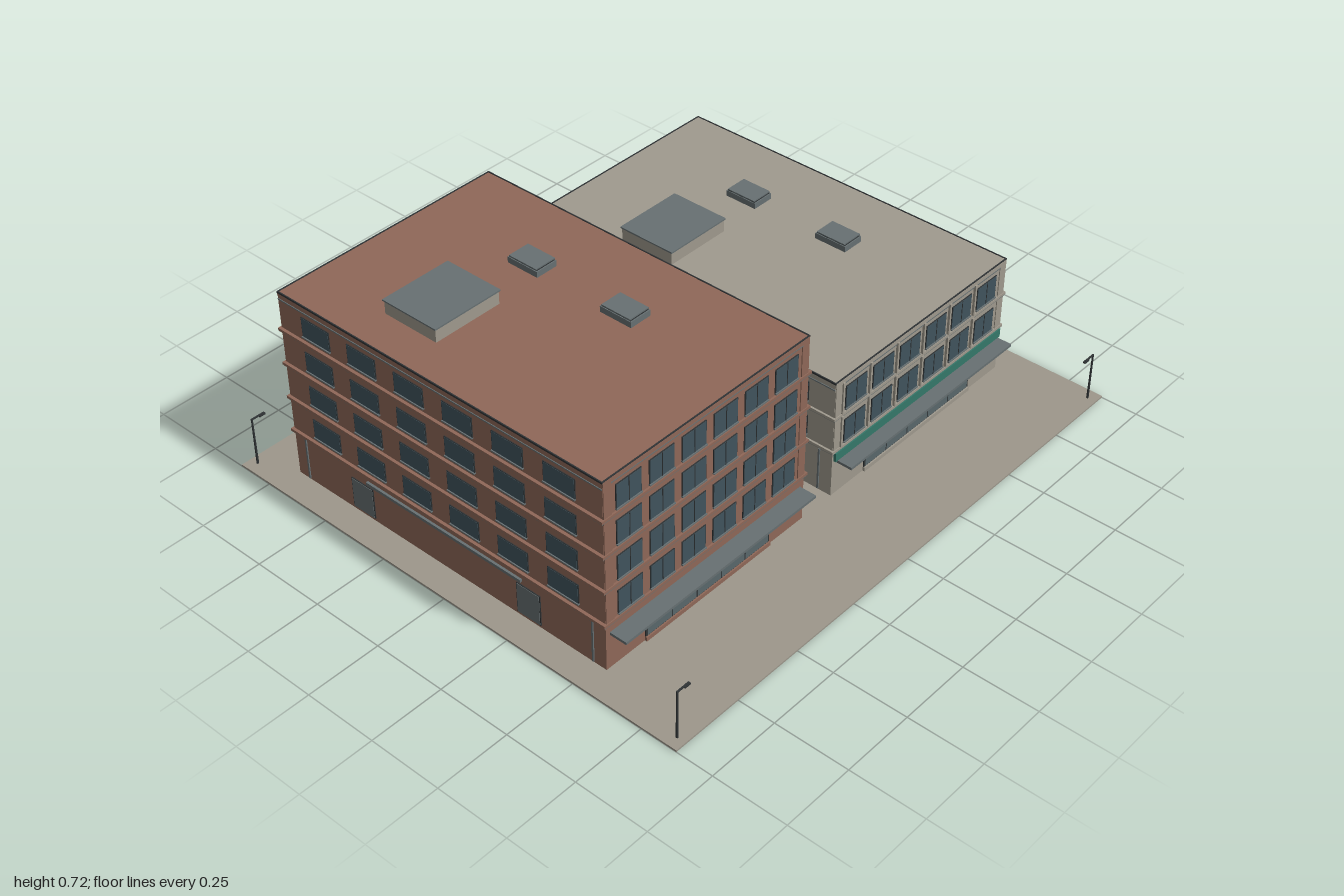
import * as THREE from 'three';

const paint = (name, color) => {
  const m = new THREE.MeshStandardMaterial({ color });
  m.name = name;
  return m;
};
const brick = paint('brick', 0x8f6858);
const stone = paint('stone', 0xa09a8e);
const paving = paint('paving', 0x9d978b);
const glass = paint('window glass', 0x41545d);
const shopGlass = paint('shop glass', 0x5a686b);
const metal = paint('grey metal', 0x677072);
const dark = paint('dark metal', 0x303436);
const green = paint('green fascia', 0x35786a);

// Box given by its size and centre
function box(parent, name, mat, w, h, d, x, y, z) {
  const m = new THREE.Mesh(new THREE.BoxGeometry(w, h, d), mat);
  m.name = name;
  m.position.set(x, y, z);
  parent.add(m);
  return m;
}

const W = 0.836, D = 1.256, CZ = -0.09;
const FLOOR0 = 0.172, STOREY = 0.123;

// A framed window on a wall whose outside faces local +z
function windowUnit(wall, x, y, w, h, mullion) {
  box(wall, 'windowFrame', dark, w + 0.004, h + 0.004, 0.004, x, y, 0.001);
  box(wall, 'windowPane', glass, w, h, 0.006, x, y, 0.001);
  box(wall, 'windowSill', metal, w + 0.006, 0.004, 0.01, x, y - h / 2 - 0.003, 0.002);
  if (mullion) box(wall, 'windowMullion', dark, 0.003, h, 0.008, x, y, 0.001);
}

// Narrow street wall with close-set windows and a shop front
function streetWall(wall, floors, height, mat, isStone) {
  for (let f = 0; f < floors; f++) {
    const y = FLOOR0 + 0.053 + f * STOREY;
    for (let i = 0; i < 6; i++) {
      const x = (i - 2.5) * 0.1285;
      windowUnit(wall, x, y, 0.094, 0.078, true);
      if (isStone) box(wall, 'pier', mat, 0.008, 0.112, 0.016, x - 0.0643, y + 0.008, 0);
    }
  }
  // raised border around the upper storeys
  const top = height - 0.017, mid = (top + FLOOR0) / 2;
  for (const s of [-1, 1])
    box(wall, 'wallBorder', mat, 0.03, top - FLOOR0, 0.006, s * (W / 2 - 0.016), mid, 0);
  box(wall, 'wallHead', mat, W, 0.016, 0.006, 0, height - 0.009, 0);
  box(wall, 'wallHeadLine', metal, W - 0.06, 0.003, 0.006, 0, top, 0.001);

  // shop front
  const sw = 0.518;
  box(wall, 'shopSurround', dark, sw + 0.008, 0.116, 0.004, 0, 0.074, 0.001);
  for (let i = 0; i < 5; i++)
    box(wall, 'shopPane', shopGlass, sw / 5 - 0.005, 0.106, 0.007, (i - 2) * sw / 5, 0.076, 0.001);
  box(wall, 'shopPlinth', mat, sw + 0.01, 0.014, 0.014, 0, 0.013, 0.001);
  if (isStone) box(wall, 'greenFascia', green, W - 0.012, 0.031, 0.016, 0, 0.15, 0.001);
}

// Long wall with wider windows, two doors and a strip awning
function longWall(wall, floors, height, mirror) {
  for (let f = 0; f < floors; f++)
    for (let i = 0; i < 6; i++)
      windowUnit(wall, (i - 2.5) * 0.19, FLOOR0 + 0.054 + f * STOREY, 0.112, 0.064, false);
  for (const x of [-0.337, 0.337]) {
    box(wall, 'sideDoorFrame', dark, 0.092, 0.109, 0.004, x, 0.0705, 0.001);
    box(wall, 'sideDoor', metal, 0.086, 0.105, 0.007, x, 0.0705, 0.001);
  }
  box(wall, 'sideAwning', metal, 0.625, 0.01, 0.012, 0, 0.142, 0.002);
  for (const x of [-0.58, 0.58])
    box(wall, 'downpipe', metal, 0.006, 0.15, 0.006, x, 0.085, 0.001);
  box(wall, 'upperTrim', metal, D, 0.004, 0.005, 0, height - 0.024, 0);
}

function building(name, cx, floors, height, mat, isStone) {
  const g = new THREE.Group();
  g.name = name;
  g.position.set(cx, 0, CZ);
  box(g, 'buildingBody', mat, W, height - 0.004, D, 0, (height + 0.004) / 2, 0);

  // ledges at every floor and coping lines along the roof edge
  const out = isStone ? 0.014 : 0.02;
  for (let f = 0; f < floors; f++) {
    const y = FLOOR0 + f * STOREY;
    box(g, 'floorLedge', mat, W + out, 0.009, D + 0.012, 0, y, 0);
    box(g, 'ledgeShadowTrim', metal, W + out - 0.004, 0.003, D + 0.01, 0, y - 0.006, 0);
  }
  for (const s of [-1, 1]) {
    box(g, 'roofCoping', dark, 0.004, 0.006, D + 0.004, s * W / 2, height - 0.001, 0);
    box(g, 'roofCoping', dark, W + 0.004, 0.006, 0.004, 0, height - 0.001, s * D / 2);
  }

  // four walls, each turned outwards
  for (let k = 0; k < 4; k++) {
    const wall = new THREE.Group();
    wall.name = ['frontWall', 'leftWall', 'backWall', 'rightWall'][k];
    wall.rotation.y = k * Math.PI / 2;
    const r = k % 2 ? W / 2 : D / 2;
    wall.position.set(Math.sin(wall.rotation.y) * r, 0, Math.cos(wall.rotation.y) * r);
    if (k % 2) longWall(wall, floors, height);
    else streetWall(wall, floors, height, mat, isStone);
    g.add(wall);
  }

  // front canopy on small hangers
  box(g, 'canopy', metal, 0.805, 0.009, 0.06, 0, 0.131, D / 2 + 0.03);
  for (let i = 0; i < 4; i++)
    box(g, 'canopyBracket', dark, 0.005, 0.008, 0.05, (i - 1.5) * 0.17, 0.123, D / 2 + 0.025);

  // stair house and air units on the roof
  box(g, 'stairHouse', stone, 0.244, 0.046, 0.205, -0.165, height + 0.022, -0.22);
  box(g, 'stairHouseRoof', metal, 0.252, 0.005, 0.213, -0.165, height + 0.0465, -0.22);
  for (const z of [-0.185, 0.178]) {
    box(g, 'airUnit', metal, 0.08, 0.02, 0.118, 0.157, height + 0.01, z);
    box(g, 'airUnitSeam', dark, 0.074, 0.003, 0.11, 0.157, height + 0.0215, z);
    box(g, 'airUnitLid', metal, 0.078, 0.004, 0.108, 0.157, height + 0.025, z);
  }
  return g;
}

// Street lamp with its arm reaching inwards
function lamp(sx, sz) {
  const g = new THREE.Group();
  g.name = 'streetLamp';
  const pole = new THREE.Mesh(new THREE.CylinderGeometry(0.003, 0.004, 0.168, 8), dark);
  pole.name = 'lampPole';
  pole.position.set(sx * 0.963, 0.09, sz * 0.845);
  g.add(pole);
  box(g, 'lampArm', dark, 0.045, 0.004, 0.005, sx * 0.943, 0.173, sz * 0.845);
  box(g, 'lampHead', dark, 0.022, 0.005, 0.009, sx * 0.925, 0.17, sz * 0.845);
  return g;
}

export function createModel() {
  const model = new THREE.Group();
  model.name = 'cityBlock';
  box(model, 'pavement', paving, 2, 0.006, 1.75, 0, 0.003, 0);
  model.add(building('brickBuilding', -0.487, 4, 0.67, brick, false));
  model.add(building('stoneBuilding', 0.482, 2, 0.424, stone, true));
  for (const sx of [-1, 1]) for (const sz of [-1, 1]) model.add(lamp(sx, sz));
  return model;
}
